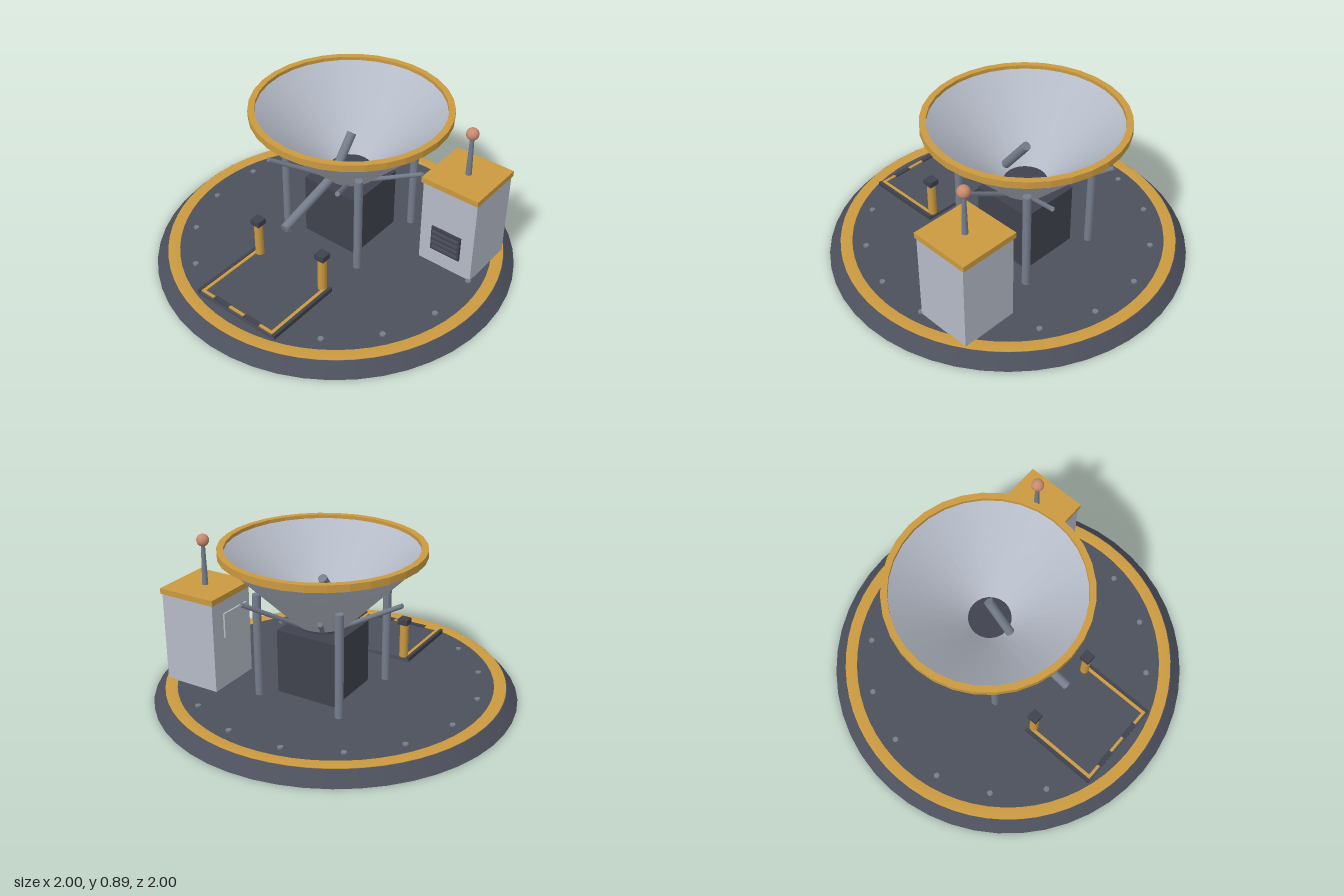
import * as THREE from 'three';

const mat = (name, color) => Object.assign(new THREE.MeshStandardMaterial({ color }), { name });

export function createModel() {
  const slate = mat('slate', 0x4c505c);
  const dark = mat('dark slate', 0x3f424d);
  const gold = mat('ochre', 0xcb9a40);
  const pale = mat('pale grey', 0xb4bac6);
  const steel = mat('steel', 0x757d8c);
  const copper = mat('copper', 0xc98a70);
  const model = new THREE.Group();
  model.name = 'hopperStation';

  const add = (name, geo, material, x = 0, y = 0, z = 0, parent = model) => {
    const m = new THREE.Mesh(geo, material);
    m.name = name;
    m.position.set(x, y, z);
    parent.add(m);
    return m;
  };
  // box given by its lower and upper bounds
  const box = (name, material, x0, x1, y0, y1, z0, z1) =>
    add(name, new THREE.BoxGeometry(x1 - x0, y1 - y0, z1 - z0), material,
      (x0 + x1) / 2, (y0 + y1) / 2, (z0 + z1) / 2);
  // round bar between two points
  const bar = (name, material, a, b, r, sides = 12, parent = model) => {
    const p = new THREE.Vector3(...a), q = new THREE.Vector3(...b);
    const m = add(name, new THREE.CylinderGeometry(r, r, p.distanceTo(q), sides), material, 0, 0, 0, parent);
    m.position.copy(p).add(q).multiplyScalar(0.5);
    m.quaternion.setFromUnitVectors(new THREE.Vector3(0, 1, 0), q.sub(p).normalize());
    return m;
  };
  const lathe = (points, sides) =>
    new THREE.LatheGeometry(points.map(([r, y]) => new THREE.Vector2(r, y)), sides);

  // Round base with sloped edge, painted ring and bolts
  add('base', new THREE.CylinderGeometry(0.94, 1, 0.068, 48), slate, 0, 0.034, 0);
  add('baseRing', lathe([[0.87, 0.066], [0.935, 0.066], [0.935, 0.072], [0.87, 0.072], [0.87, 0.066]], 64), gold);
  for (let i = 0; i < 16; i++) {
    const a = (i + 0.5) * Math.PI / 8;
    add('bolt', new THREE.CylinderGeometry(0.016, 0.016, 0.01, 8), steel,
      0.797 * Math.sin(a), 0.071, 0.797 * Math.cos(a));
  }

  // Funnel group, centred on its own axis
  const funnel = new THREE.Group();
  funnel.name = 'funnel';
  funnel.position.z = -0.13;
  model.add(funnel);
  add('funnelShell', lathe([[0.115, 0.455], [0.145, 0.455], [0.53, 0.845], [0.51, 0.86], [0.115, 0.475]], 32), pale, 0, 0, 0, funnel);
  add('funnelRim', lathe([[0.508, 0.84], [0.543, 0.84], [0.543, 0.878], [0.508, 0.878], [0.508, 0.84]], 32).toNonIndexed(), gold, 0, 0, 0, funnel)
    .geometry.computeVertexNormals();
  add('funnelNeck', new THREE.CylinderGeometry(0.118, 0.118, 0.055, 24), dark, 0, 0.453, 0, funnel);
  add('machineHousing', new THREE.BoxGeometry(0.35, 0.36, 0.36), dark, 0, 0.25, 0, funnel);

  // Four legs on the diagonals and six braces around the cone
  for (const sx of [-1, 1]) for (const sz of [-1, 1]) {
    bar('leg', steel, [sx * 0.248, 0.068, sz * 0.25], [sx * 0.248, 0.645, sz * 0.25], 0.023, 12, funnel);
  }
  for (let i = 0; i < 6; i++) {
    const c = Math.cos(i * Math.PI / 3), s = Math.sin(i * Math.PI / 3);
    bar('brace', steel, [c * 0.15, 0.465, s * 0.15], [c * 0.465, 0.645, s * 0.465], 0.013, 8, funnel);
  }

  // Feed pipe inside the cone and outlet pipe in front
  bar('feedPipe', steel, [0, 0.7, -0.135], [0, 0.49, 0.03], 0.025);
  bar('outletPipe', steel, [0, 0.393, 0.42], [0, 0.5, 0.04], 0.025);

  // Control cabinet
  box('cabinet', pale, 0.455, 0.785, 0.068, 0.575, -0.49, -0.165);
  box('cabinetRoof', gold, 0.445, 0.79, 0.573, 0.605, -0.5, -0.155);
  box('cabinetSidePanel', pale, 0.445, 0.456, 0.355, 0.495, -0.4, -0.2);
  box('vent', dark, 0.53, 0.71, 0.17, 0.32, -0.166, -0.153);
  for (let i = 0; i < 4; i++) box('ventSlat', slate, 0.54, 0.7, 0.188 + i * 0.033, 0.202 + i * 0.033, -0.155, -0.145);
  add('antenna', new THREE.CylinderGeometry(0.011, 0.017, 0.24, 10), steel, 0.62, 0.72, -0.33);
  add('antennaBall', new THREE.SphereGeometry(0.034, 20, 14), copper, 0.62, 0.855, -0.33);

  // Entry platform with painted edges and marker posts
  box('platform', slate, -0.268, 0.268, 0.066, 0.088, 0.36, 0.815);
  box('frontEdgeStrip', gold, -0.25, 0.25, 0.087, 0.094, 0.79, 0.806);
  for (const s of [-1, 1]) {
    box('sideEdgeStrip', gold, s * 0.24 - 0.009, s * 0.24 + 0.009, 0.087, 0.094, 0.38, 0.806);
    box('sideKerb', dark, s * 0.26 - 0.009, s * 0.26 + 0.009, 0.07, 0.095, 0.36, 0.815);
    box('edgeDash', dark, s * 0.105 - 0.052, s * 0.105 + 0.052, 0.087, 0.097, 0.785, 0.812);
    bar('markerPost', gold, [s * 0.223, 0.085, 0.385], [s * 0.223, 0.295, 0.385], 0.025);
    box('markerCap', dark, s * 0.223 - 0.029, s * 0.223 + 0.029, 0.29, 0.323, 0.356, 0.414);
  }
  return model;
}
